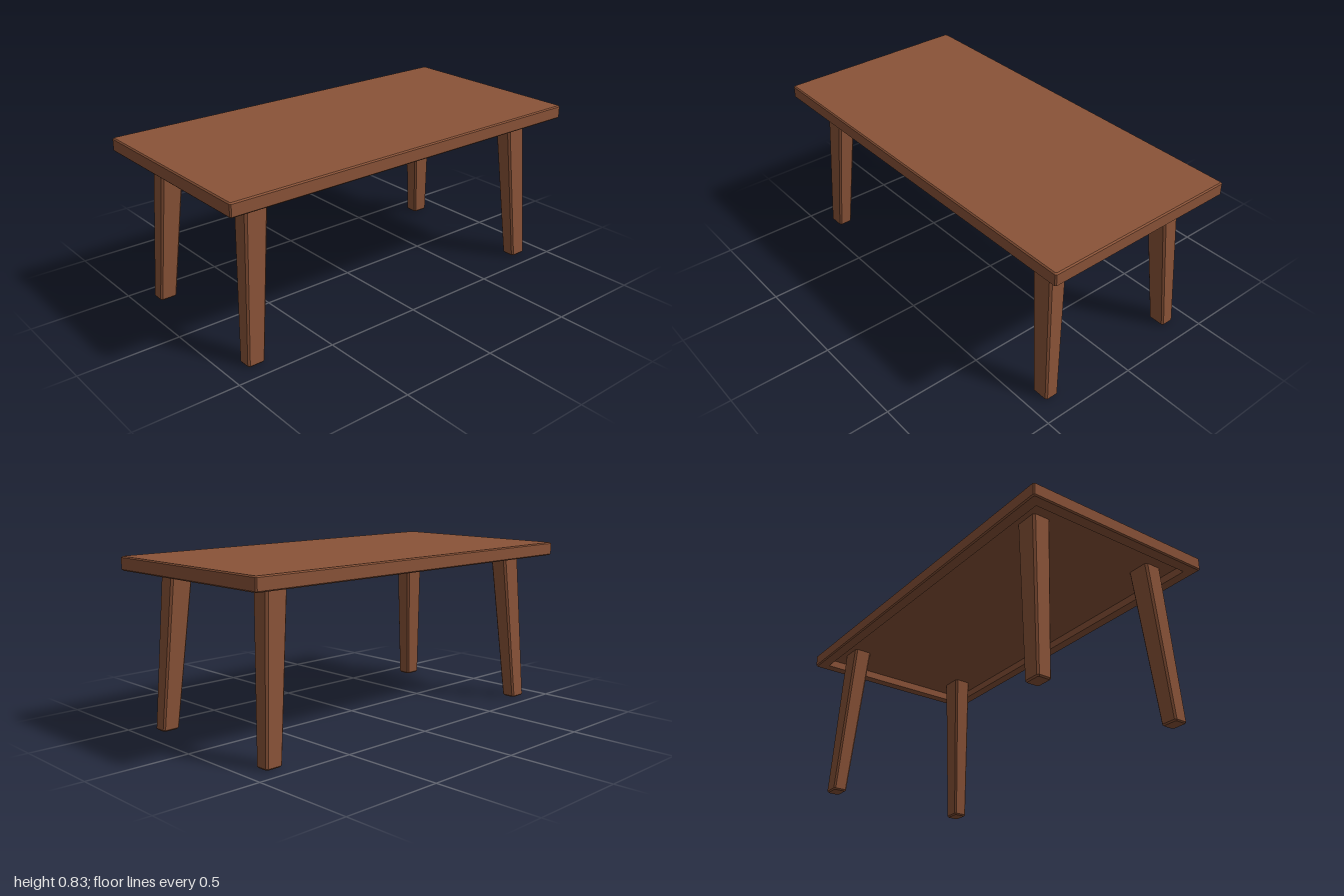
import * as THREE from 'three';

// Chamfered rectangle ring: centre (x, z), half sizes (w, d), corner cut c
function ring(x, z, w, d, y, c) {
  return [
    [w, -d + c], [w, d - c], [w - c, d], [-w + c, d],
    [-w, d - c], [-w, -d + c], [-w + c, -d], [w - c, -d],
  ].map(([px, pz]) => [x + px, y, z + pz]);
}

// Joins rings from first to last and caps both ends, with flat faces
function loft(rings) {
  const pos = [];
  const tri = (a, b, c) => pos.push(...a, ...b, ...c);
  const n = rings[0].length;
  for (let r = 0; r < rings.length - 1; r++) {
    const a = rings[r], b = rings[r + 1];
    for (let i = 0; i < n; i++) {
      const j = (i + 1) % n;
      tri(a[i], b[i], b[j]);
      tri(a[i], b[j], a[j]);
    }
  }
  const first = rings[0], last = rings[rings.length - 1];
  for (let i = 1; i < n - 1; i++) {
    tri(first[0], first[i], first[i + 1]);
    tri(last[0], last[i + 1], last[i]);
  }
  const geo = new THREE.BufferGeometry();
  geo.setAttribute('position', new THREE.Float32BufferAttribute(pos, 3));
  geo.computeVertexNormals();
  return geo;
}

export function createModel() {
  const table = new THREE.Group();
  table.name = 'table';
  const wood = new THREE.MeshStandardMaterial({ color: 0x8a5338 });
  wood.name = 'brown wood';

  // Table top with bevelled edges and a recess underneath
  const b = 0.006;
  const top = new THREE.Mesh(loft([
    ring(0, 0, 0.944, 0.444, 0.805, 0.002),
    ring(0, 0, 0.944, 0.444, 0.766, 0.002),
    ring(0, 0, 1 - b, 0.5 - b, 0.766, b),
    ring(0, 0, 1, 0.5, 0.766 + b, b),
    ring(0, 0, 1, 0.5, 0.833 - b, b),
    ring(0, 0, 1 - b, 0.5 - b, 0.833, b),
  ]), wood);
  top.name = 'tableTop';
  table.add(top);

  // Four splayed legs, tapering towards the floor
  const sides = [['Left', 1], ['Right', -1]];
  const ends = [['front', 1], ['back', -1]];
  for (const [end, sz] of ends) {
    for (const [side, sx] of sides) {
      const leg = new THREE.Mesh(loft([
        ring(sx * 0.856, sz * 0.384, 0.038, 0.03, 0, 0.007),
        ring(sx * 0.855, sz * 0.384, 0.044, 0.036, 0.007, 0.008),
        ring(sx * 0.796, sz * 0.338, 0.059, 0.047, 0.806, 0.01),
      ]), wood);
      leg.name = `${end}${side}Leg`;
      table.add(leg);
    }
  }
  return table;
}
